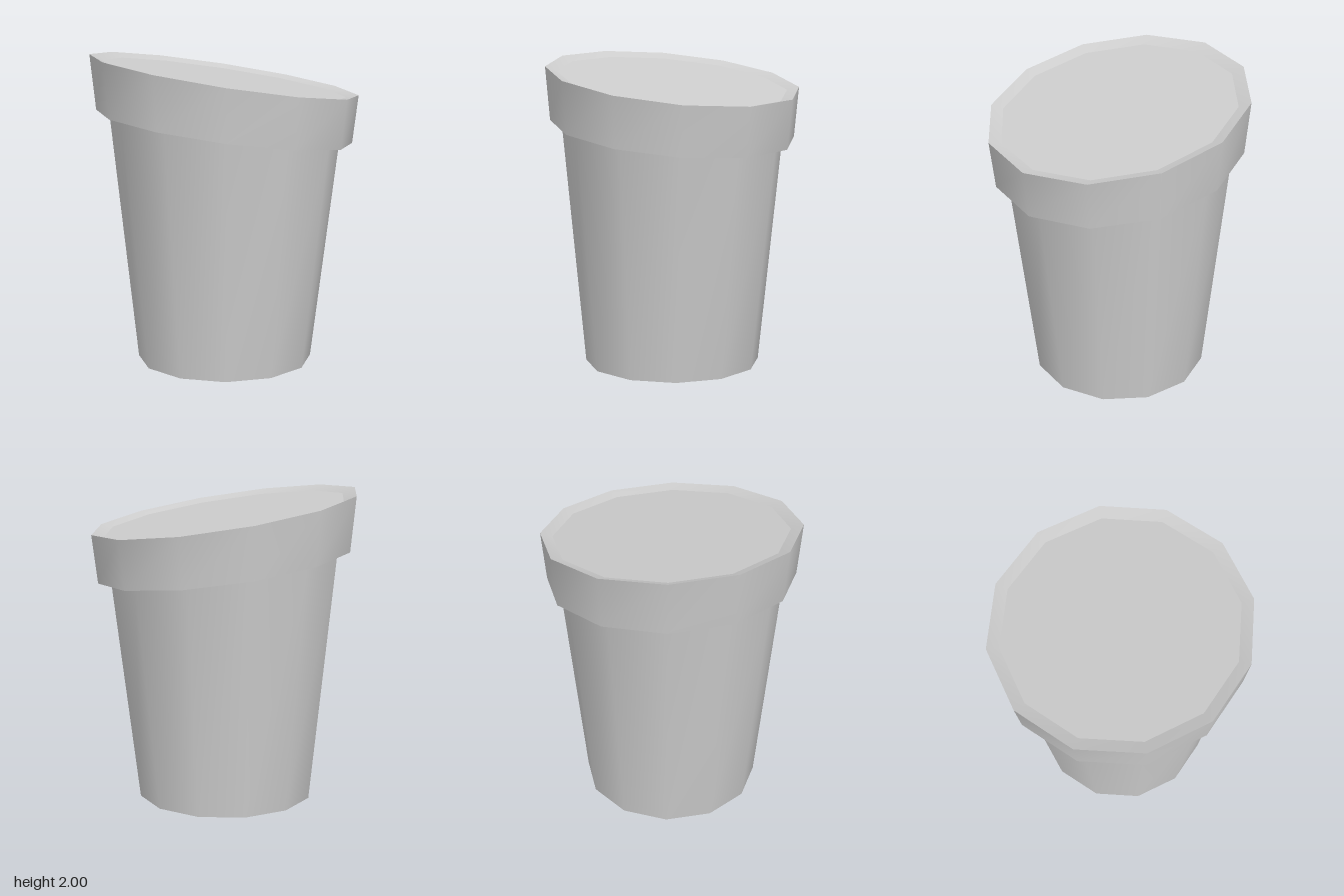
import * as THREE from 'three';

const SIDES = 12;

// A slanted oval ring: radii in x and z, height at the centre, drop per unit of x
const rings = {
  centreBottom: { rx: 0, rz: 0, y: 0, slope: 0 },
  base: { rx: 0.57, rz: 0.57, y: 0, slope: 0 },
  wallTop: { rx: 0.742, rz: 0.705, y: 1.535, slope: 0.133 },
  rimBottom: { rx: 0.825, rz: 0.775, y: 1.535, slope: 0.133 },
  rimTop: { rx: 0.862, rz: 0.8, y: 1.867, slope: 0.154 },
  fillEdge: { rx: 0.78, rz: 0.725, y: 1.842, slope: 0.154 },
  centreTop: { rx: 0, rz: 0, y: 1.842, slope: 0.154 },
};

// Closed band between two rings, smooth around and sharp at its ends
function band(lower, upper) {
  const positions = [];
  const indices = [];
  for (const ring of [lower, upper]) {
    for (let i = 0; i < SIDES; i++) {
      const angle = (i / SIDES) * Math.PI * 2;
      const x = ring.rx * Math.cos(angle);
      positions.push(x, ring.y - ring.slope * x, ring.rz * Math.sin(angle));
    }
  }
  for (let i = 0; i < SIDES; i++) {
    const j = (i + 1) % SIDES;
    if (upper.rx > 0) indices.push(j, SIDES + i, SIDES + j);
    if (lower.rx > 0) indices.push(i, SIDES + i, j);
  }
  const geometry = new THREE.BufferGeometry();
  geometry.setAttribute('position', new THREE.Float32BufferAttribute(positions, 3));
  geometry.setIndex(indices);
  geometry.computeVertexNormals();
  return geometry;
}

export function createModel() {
  const grey = new THREE.MeshStandardMaterial({ color: 0xcccccc });
  grey.name = 'plain grey';

  const pot = new THREE.Group();
  pot.name = 'pot';

  // Parts from the underside, up the outside, and into the shallow top
  const parts = [
    ['base', 'centreBottom', 'base'],
    ['wall', 'base', 'wallTop'],
    ['rimUnderside', 'wallTop', 'rimBottom'],
    ['rim', 'rimBottom', 'rimTop'],
    ['lip', 'rimTop', 'fillEdge'],
    ['fill', 'fillEdge', 'centreTop'],
  ];
  for (const [name, lower, upper] of parts) {
    const mesh = new THREE.Mesh(band(rings[lower], rings[upper]), grey);
    mesh.name = name;
    pot.add(mesh);
  }
  return pot;
}
